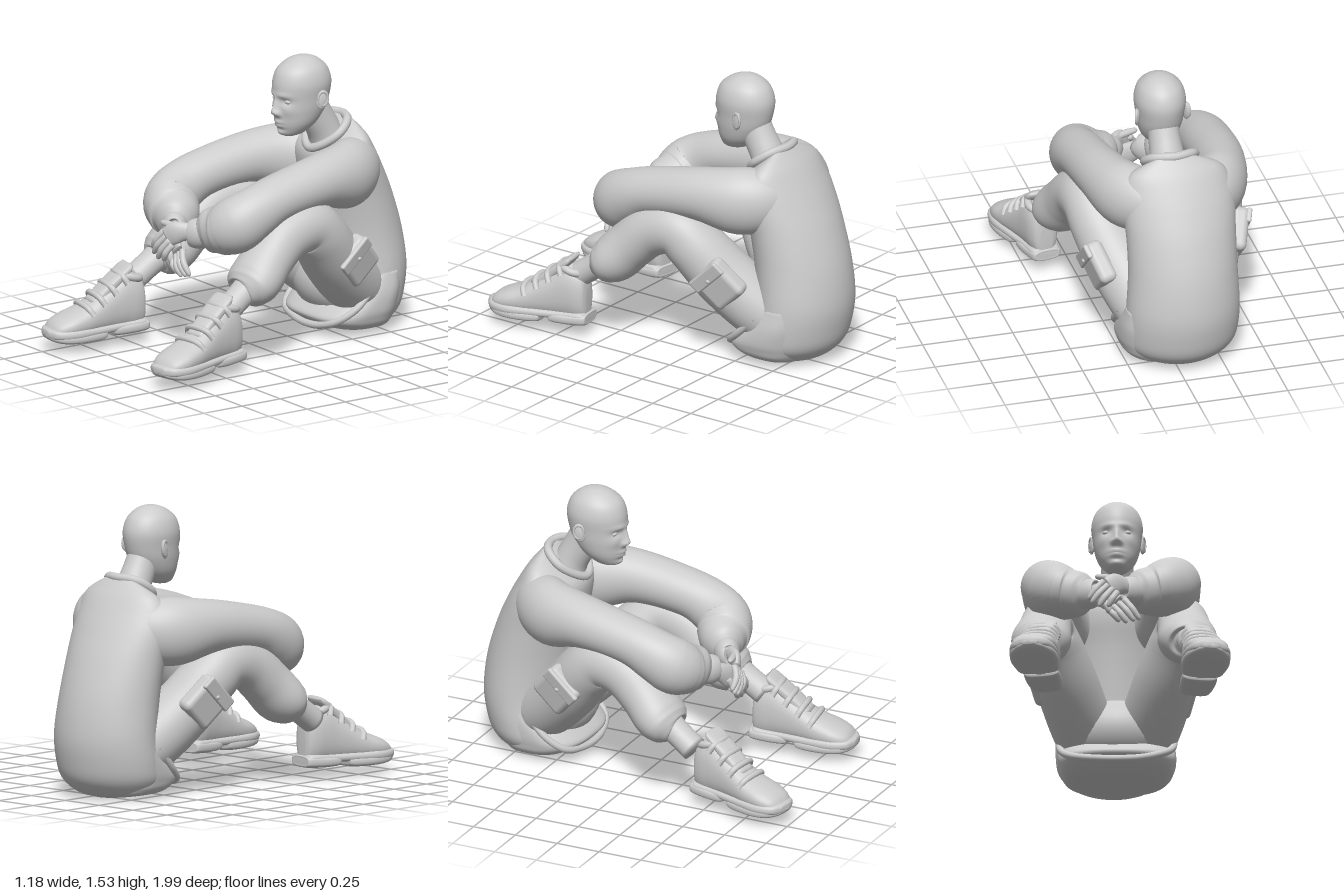
import * as THREE from 'three';
import { RoundedBoxGeometry } from 'three/addons/geometries/RoundedBoxGeometry.js';

const V = (x, y, z) => new THREE.Vector3(x, y, z);
const X = V(1, 0, 0), Y = V(0, 1, 0), Z = V(0, 0, 1);
const material = new THREE.MeshStandardMaterial({ color: 0xcccccc });

function mesh(name, geometry, parent) {
  const m = new THREE.Mesh(geometry, material);
  m.name = name;
  parent.add(m);
  return m;
}

// Smooth closed skin through sections [x, y, z, halfA, halfB]; halfA lies along ref.
// Sections follow the path, or stay square to a fixed axis when one is given.
function skin(rows, { ref = X, axis, power = 2, n = 32, steps = 6 } = {}) {
  const path = new THREE.CatmullRomCurve3(rows.map(r => V(r[0], r[1], r[2])), false, 'catmullrom', 0.5);
  const size = new THREE.CatmullRomCurve3(rows.map(r => V(r[3], r[4], 0)), false, 'catmullrom', 0.5);
  const m = (rows.length - 1) * steps, pos = [], idx = [];
  const bend = v => Math.sign(v) * Math.abs(v) ** (2 / power);
  for (let i = 0; i <= m; i++) {
    const c = path.getPoint(i / m), s = size.getPoint(i / m);
    const t = axis ?? path.getTangent(i / m);
    const a = ref.clone().addScaledVector(t, -ref.dot(t)).normalize();
    const b = t.clone().cross(a);
    for (let j = 0; j < n; j++) {
      const q = j / n * Math.PI * 2;
      const p = c.clone().addScaledVector(a, bend(Math.cos(q)) * s.x).addScaledVector(b, bend(Math.sin(q)) * s.y);
      pos.push(p.x, p.y, p.z);
      if (i < m) {
        const k = i * n + j, l = i * n + (j + 1) % n;
        idx.push(k, l, k + n, l, l + n, k + n);
      }
    }
  }
  // end caps
  const e = pos.length / 3, first = rows[0], last = rows[rows.length - 1];
  pos.push(first[0], first[1], first[2], last[0], last[1], last[2]);
  for (let j = 0; j < n; j++) {
    const k = (j + 1) % n;
    idx.push(e, k, j, e + 1, m * n + j, m * n + k);
  }
  const g = new THREE.BufferGeometry();
  g.setAttribute('position', new THREE.Float32BufferAttribute(pos, 3));
  g.setIndex(idx);
  g.computeVertexNormals();
  return g;
}

// Horizontal slices [y, back z, front z, right x, left x]
const slices = (rows, opt) => skin(rows.map(([y, b, f, r, l]) =>
  [(r + l) / 2, y, (b + f) / 2, (f - b) / 2, (l - r) / 2]), { ref: Z, axis: Y, ...opt });

const tube = (pts, r, closed = false) => new THREE.TubeGeometry(
  new THREE.CatmullRomCurve3(pts.map(p => V(...p)), closed), 48, r, 10, closed);

function ball(name, parent, p, s) {
  const b = mesh(name, new THREE.SphereGeometry(1, 32, 20), parent);
  b.position.set(...p);
  b.scale.set(...s);
  return b;
}

function buildHead(root) {
  const head = new THREE.Group();
  head.name = 'head';
  const cx = -0.033;
  const g = slices([
    [1.11, -0.33, -0.255, 0.03], [1.127, -0.38, -0.23, 0.06], [1.18, -0.45, -0.212, 0.098],
    [1.25, -0.5, -0.205, 0.12], [1.32, -0.525, -0.2, 0.13], [1.4, -0.535, -0.2, 0.138],
    [1.47, -0.512, -0.225, 0.12], [1.515, -0.465, -0.28, 0.08], [1.535, -0.42, -0.33, 0.04], [1.54, -0.39, -0.36, 0.012],
  ].map(([y, b, f, w]) => [y, b, f, cx - w, cx + w]), { n: 112, steps: 8 });
  // face relief: [x, y, push, spread x, spread y]
  const relief = [
    [0, 1.25, 0.03, 0.024, 0.025], [0, 1.29, 0.018, 0.017, 0.035], [0.022, 1.243, 0.013, 0.013, 0.013],
    [0.055, 1.312, -0.014, 0.03, 0.02], [0.045, 1.345, 0.008, 0.045, 0.014], [0.075, 1.26, 0.007, 0.03, 0.03],
    [0, 1.195, 0.013, 0.036, 0.01], [0, 1.174, 0.013, 0.032, 0.01], [0, 1.184, -0.007, 0.04, 0.004],
    [0, 1.155, -0.005, 0.04, 0.01], [0, 1.13, 0.008, 0.035, 0.015],
  ];
  const p = g.attributes.position;
  for (let i = 0; i < p.count; i++) {
    if (p.getZ(i) < -0.33) continue;
    const x = Math.abs(p.getX(i) - cx), y = p.getY(i);
    let z = p.getZ(i);
    for (const [rx, ry, h, sx, sy] of relief) z += h * Math.exp(-(((x - rx) / sx) ** 2) - ((y - ry) / sy) ** 2);
    p.setZ(i, z);
  }
  g.computeVertexNormals();
  mesh('face and skull', g, head);
  for (const s of [-1, 1]) {
    ball('eye', head, [cx + s * 0.054, 1.312, -0.24], [0.023, 0.014, 0.018]);
    const ear = ball('ear', head, [cx + s * 0.134, 1.315, -0.405], [0.013, 0.052, 0.032]);
    ear.rotation.set(-0.15, s * -0.3, 0);
    const rim = mesh('ear rim', new THREE.TorusGeometry(0.027, 0.007, 8, 24), head);
    rim.position.set(cx + s * 0.141, 1.322, -0.408);
    rim.rotation.set(0, Math.PI / 2 - s * 0.3, 0);
    rim.scale.y = 1.4;
  }
  mesh('neck', skin([[-0.04, 1.0, -0.55, 0.12, 0.1], [-0.035, 1.1, -0.515, 0.096, 0.092],
    [-0.033, 1.2, -0.46, 0.086, 0.09], [-0.033, 1.3, -0.41, 0.084, 0.088]]), head);
  root.add(head);
}

function buildSweater(root) {
  mesh('sweater body', slices([
    [0.005, -0.79, -0.66, -0.14, 0.04], [0.03, -0.865, -0.52, -0.27, 0.16], [0.1, -0.94, -0.45, -0.345, 0.24],
    [0.2, -0.975, -0.47, -0.365, 0.255], [0.35, -0.992, -0.5, -0.365, 0.25], [0.55, -0.965, -0.48, -0.36, 0.235],
    [0.75, -0.9, -0.45, -0.365, 0.235], [0.9, -0.83, -0.42, -0.375, 0.245], [1.0, -0.775, -0.425, -0.36, 0.24],
    [1.08, -0.725, -0.5, -0.31, 0.2], [1.13, -0.685, -0.56, -0.23, 0.13], [1.175, -0.645, -0.61, -0.12, 0.04],
  ], { n: 56, power: 1.93 }), root);
  mesh('collar', tube([[-0.045, 1.175, -0.635], [0.06, 1.165, -0.6], [0.095, 1.11, -0.525], [0.04, 1.045, -0.455],
    [-0.04, 1.015, -0.425], [-0.12, 1.045, -0.455], [-0.18, 1.11, -0.525], [-0.15, 1.165, -0.6]], 0.024, true), root);
  // lower front of the sweater, spread under the thighs
  mesh('sweater skirt', slices([
    [0.01, -0.78, -0.6, -0.17, 0.08], [0.03, -0.82, -0.49, -0.29, 0.2], [0.06, -0.84, -0.42, -0.33, 0.25],
    [0.1, -0.86, -0.38, -0.345, 0.27], [0.15, -0.87, -0.42, -0.355, 0.28], [0.24, -0.88, -0.53, -0.36, 0.275],
    [0.34, -0.88, -0.62, -0.355, 0.25],
  ], { n: 64, power: 2.7 }), root);
  mesh('hem', tube([[-0.345, 0.29, -0.64], [-0.335, 0.16, -0.52], [-0.28, 0.09, -0.435], [-0.15, 0.06, -0.4],
    [-0.03, 0.052, -0.39], [0.09, 0.062, -0.4], [0.2, 0.1, -0.435], [0.26, 0.17, -0.52], [0.265, 0.29, -0.64]], 0.02), root);
  // sleeves: [distance from the middle, y, z, half height, half width]
  for (const s of [-1, 1]) {
    const side = rows => rows.map(([d, y, z, a, b]) => [-0.06 + s * d, y + s * 0.007, z, a, b]);
    mesh('sleeve', skin(side([
      [0.05, 0.92, -0.64, 0.1, 0.1], [0.155, 0.91, -0.61, 0.165, 0.145], [0.265, 0.905, -0.49, 0.185, 0.15],
      [0.325, 0.915, -0.27, 0.145, 0.14], [0.345, 0.87, 0.02, 0.13, 0.135], [0.345, 0.81, 0.17, 0.145, 0.135],
      [0.315, 0.76, 0.25, 0.155, 0.145], [0.25, 0.725, 0.28, 0.145, 0.145], [0.2, 0.71, 0.3, 0.13, 0.13],
      [0.15, 0.695, 0.335, 0.115, 0.1], [0.12, 0.685, 0.36, 0.075, 0.065],
    ]), { ref: Y, n: 40 }), root);
    mesh('cuff', skin(side([[0.15, 0.685, 0.34, 0.08, 0.07], [0.105, 0.678, 0.37, 0.083, 0.068],
      [0.07, 0.675, 0.395, 0.07, 0.055], [0.065, 0.675, 0.4, 0.045, 0.04]]), { ref: Y }), root);
  }
}

// A hand: palm sections, four fingers fanned from the knuckles, and a thumb
function buildHand(root, name, palm, knuckles, spread, tips, thumb) {
  const hand = new THREE.Group();
  hand.name = name;
  mesh('palm', skin(palm, { ref: Y }), hand);
  const digit = (label, a, b, lift, r) => {
    const at = t => [0, 1, 2].map(k => a[k] + (b[k] - a[k]) * t + (k === 2 ? lift * Math.sin(t * Math.PI) : 0));
    mesh(label, skin([[0, 1], [0.3, 0.95], [0.55, 1], [0.9, 0.75], [1, 0.25]]
      .map(([t, k]) => [...at(t), r * k, r * k]), { ref: Z, n: 12, steps: 3 }), hand);
  };
  tips.forEach((tip, i) => digit('finger', knuckles.map((c, k) => c + spread[k] * (i / 3 - 0.5)), tip, 0.018, 0.018));
  digit('thumb', thumb[0], thumb[1], 0.01, 0.02);
  root.add(hand);
}

function buildLeg(root, s) {
  const leg = new THREE.Group();
  leg.name = s > 0 ? 'leftLeg' : 'rightLeg';
  const side = rows => rows.map(([d, ...r]) => [-0.04 + s * d, ...r]);
  mesh('trouser leg', skin(side([
    [0.12, 0.2, -0.72, 0.13, 0.13], [0.17, 0.29, -0.58, 0.165, 0.165], [0.25, 0.46, -0.4, 0.17, 0.165],
    [0.32, 0.625, -0.26, 0.155, 0.155], [0.355, 0.705, -0.155, 0.135, 0.145], [0.365, 0.67, -0.01, 0.135, 0.14],
    [0.375, 0.57, 0.11, 0.145, 0.135], [0.39, 0.48, 0.2, 0.16, 0.135], [0.4, 0.44, 0.255, 0.15, 0.12],
    [0.405, 0.42, 0.29, 0.115, 0.095], [0.405, 0.415, 0.3, 0.07, 0.06],
  ]), { n: 40 }), leg);
  mesh('sock', skin(side([[0.405, 0.46, 0.24, 0.085, 0.08], [0.415, 0.4, 0.33, 0.075, 0.07],
    [0.425, 0.33, 0.43, 0.075, 0.07]])), leg);
  // cargo pocket with flap and button
  const pocket = new THREE.Group();
  pocket.name = 'cargo pocket';
  pocket.position.set(-0.04 + s * (s > 0 ? 0.375 : 0.41), s > 0 ? 0.47 : 0.52, s > 0 ? -0.46 : -0.39);
  pocket.rotation.set(0.75, 0, -s * 0.28);
  mesh('pocket bag', new RoundedBoxGeometry(0.1, 0.24, 0.22, 4, 0.035), pocket);
  const flap = mesh('pocket flap', new RoundedBoxGeometry(0.03, 0.08, 0.225, 3, 0.012), pocket);
  flap.position.set(s * 0.045, 0.075, 0);
  ball('pocket button', pocket, [s * 0.062, 0.055, 0], [0.008, 0.012, 0.012]);
  leg.add(pocket);
  buildBoot(leg, s);
  root.add(leg);
}

function buildBoot(leg, s) {
  const boot = new THREE.Group();
  boot.name = 'boot';
  boot.position.set(s > 0 ? 0.392 : -0.395, 0, s > 0 ? 0.36 : 0.42);
  boot.rotation.y = s * 0.16;
  // rows along the foot: [z, bottom, top, half width]
  const along = (rows, power) => skin(rows.map(([z, b, t, w]) =>
    [0, (b + t) / 2, z, w, (t - b) / 2]), { power, axis: Z });
  mesh('upper', along([
    [0.0, 0.12, 0.27, 0.035], [0.015, 0.09, 0.35, 0.065], [0.06, 0.08, 0.385, 0.082], [0.12, 0.08, 0.395, 0.088],
    [0.19, 0.08, 0.355, 0.092], [0.28, 0.08, 0.295, 0.102], [0.37, 0.08, 0.24, 0.113], [0.46, 0.08, 0.205, 0.115],
    [0.53, 0.08, 0.17, 0.09], [0.565, 0.09, 0.125, 0.04]], 2.3), boot);
  mesh('tongue', skin([[0, 0.24, 0.31, 0.06, 0.03], [0, 0.32, 0.22, 0.066, 0.03], [0, 0.41, 0.115, 0.072, 0.022],
    [0, 0.44, 0.085, 0.06, 0.01]], { power: 3 }), boot);
  const collar = mesh('boot collar', new THREE.TorusGeometry(0.066, 0.021, 12, 32), boot);
  collar.position.set(0, 0.375, 0.088);
  collar.rotation.x = Math.PI / 2 - 0.3;
  // soles
  mesh('midsole', along([[0, 0.1, 0.13, 0.04], [0.02, 0.085, 0.145, 0.08], [0.15, 0.085, 0.14, 0.088],
    [0.3, 0.08, 0.14, 0.112], [0.44, 0.07, 0.145, 0.128], [0.54, 0.075, 0.14, 0.1], [0.58, 0.09, 0.13, 0.04]], 2.8), boot);
  mesh('heel block', along([[-0.01, 0.09, 0.12, 0.05], [0.0, 0.07, 0.135, 0.08], [0.1, 0.063, 0.13, 0.094],
    [0.19, 0.065, 0.125, 0.094], [0.205, 0.08, 0.11, 0.08]], 3.2), boot);
  mesh('forefoot block', along([[0.25, 0.085, 0.11, 0.09], [0.27, 0.055, 0.115, 0.108], [0.4, 0.05, 0.115, 0.128],
    [0.5, 0.055, 0.115, 0.115], [0.555, 0.07, 0.115, 0.075], [0.58, 0.09, 0.11, 0.03]], 3.2), boot);
  // laces
  for (let i = 0; i < 4; i++) {
    const y = 0.395 - i * 0.05, z = 0.145 + i * 0.07, w = 0.086 + i * 0.005;
    mesh('lace', tube([[-w, y - 0.05, z - 0.02], [-w * 0.75, y - 0.012, z], [0, y + 0.002, z + 0.01],
      [w * 0.75, y - 0.012, z], [w, y - 0.05, z - 0.02]], 0.017), boot);
  }
  leg.add(boot);
}

export function createModel() {
  const root = new THREE.Group();
  root.name = 'seatedFigure';
  buildHead(root);
  buildSweater(root);
  ball('trouser seat', root, [-0.04, 0.27, -0.6], [0.28, 0.2, 0.22]);
  for (const s of [-1, 1]) buildLeg(root, s);
  buildHand(root, 'leftHand',
    [[0.06, 0.69, 0.37, 0.045, 0.035], [0.01, 0.695, 0.42, 0.05, 0.032], [-0.03, 0.685, 0.46, 0.06, 0.028],
      [-0.07, 0.655, 0.485, 0.052, 0.02]],
    [-0.06, 0.655, 0.485], [0.075, -0.065, 0],
    [[-0.175, 0.575, 0.505], [-0.16, 0.55, 0.51], [-0.12, 0.53, 0.51], [-0.07, 0.53, 0.505]],
    [[0.0, 0.715, 0.43], [-0.14, 0.725, 0.475]]);
  buildHand(root, 'rightHand',
    [[-0.17, 0.67, 0.37, 0.045, 0.035], [-0.12, 0.645, 0.41, 0.05, 0.032], [-0.07, 0.61, 0.435, 0.06, 0.028],
      [-0.03, 0.575, 0.445, 0.052, 0.02]],
    [-0.025, 0.57, 0.445], [0.085, 0.06, 0],
    [[-0.01, 0.465, 0.455], [0.03, 0.455, 0.46], [0.07, 0.465, 0.46], [0.1, 0.475, 0.455]],
    [[-0.09, 0.6, 0.44], [-0.06, 0.515, 0.465]]);
  return root;
}
